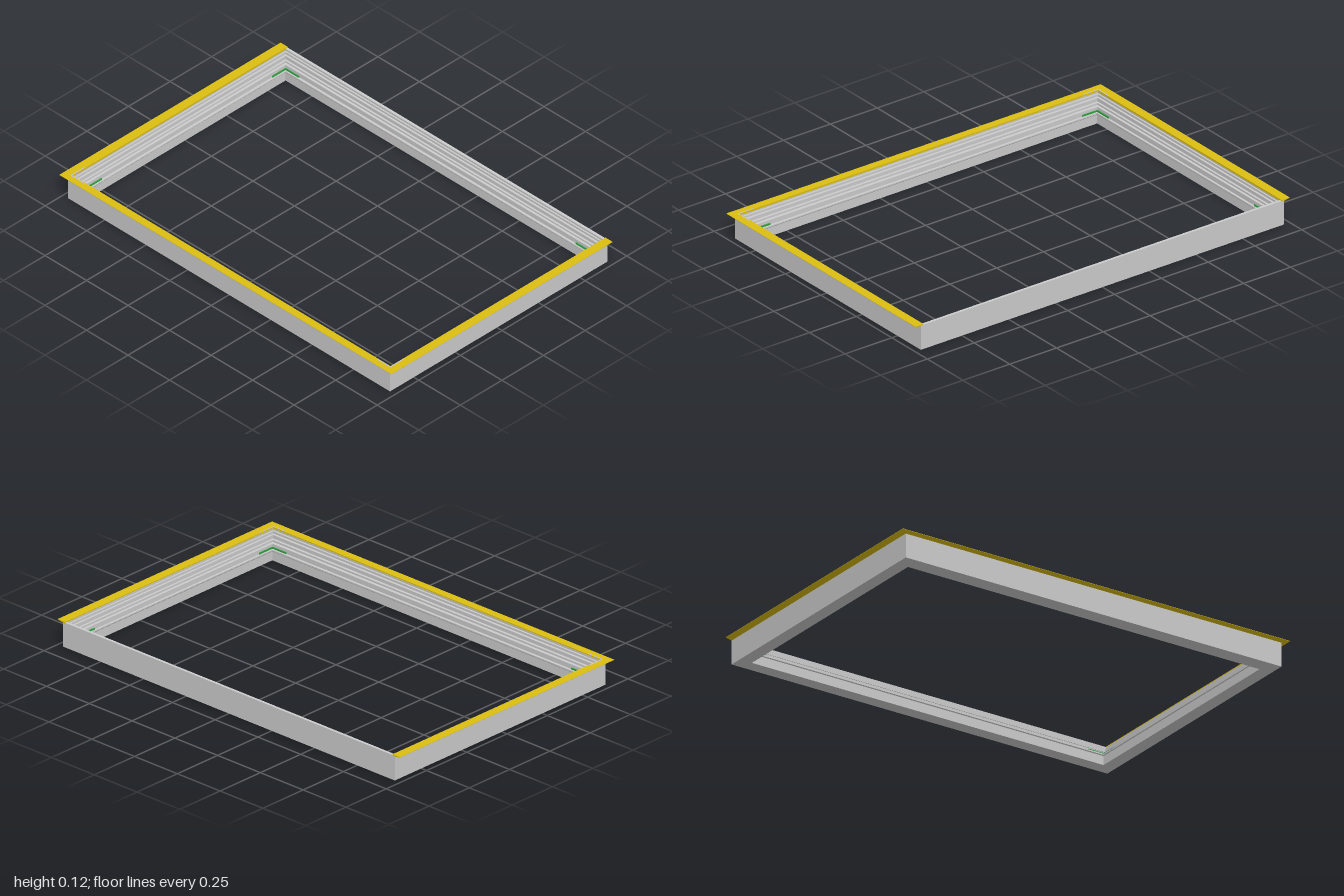
import * as THREE from 'three';

const SIDE = 0.97, FRONT = 0.643, BACK = -0.665;

// Corners of the rectangle lying d inside the outer wall (negative d = outside).
function corners(d, y, open) {
  const x = SIDE - d;
  const front = FRONT - d * (d < 0 ? 0.73 : 1.2);
  const back = open ? BACK : BACK + d;
  return [[-x, y, back], [-x, y, front], [x, y, front], [x, y, back]];
}

// Sweep a (inset, height) profile round the rectangle with mitred corners.
function sweep(profile, open = false) {
  const rings = profile.map(([d, y]) => corners(d, y, open));
  const n = rings.length, pos = [];
  const tri = (a, b, c) => pos.push(...a, ...b, ...c);
  for (let i = 0; i < (open ? 3 : 4); i++) {
    const j = (i + 1) % 4;
    for (let k = 0; k < n; k++) {
      const a = rings[k], b = rings[(k + 1) % n];
      tri(a[i], b[i], b[j]);
      tri(a[i], b[j], a[j]);
    }
  }
  if (open) {
    for (let k = 1; k < n - 1; k++) {
      tri(rings[0][0], rings[k + 1][0], rings[k][0]);
      tri(rings[0][3], rings[k][3], rings[k + 1][3]);
    }
  }
  const g = new THREE.BufferGeometry();
  g.setAttribute('position', new THREE.Float32BufferAttribute(pos, 3));
  g.computeVertexNormals();
  return g;
}

export function createModel() {
  const model = new THREE.Group();
  const grey = new THREE.MeshStandardMaterial({ color: 0xcccccc });
  const yellow = new THREE.MeshStandardMaterial({ color: 0xdcbe10 });
  const green = new THREE.MeshStandardMaterial({ color: 0x30a040 });
  const lilac = new THREE.MeshStandardMaterial({ color: 0xc4c4dc });
  const add = (name, geometry, material, parent = model) => {
    const mesh = new THREE.Mesh(geometry, material);
    mesh.name = name;
    parent.add(mesh);
    return mesh;
  };

  // Stepped frame with a bevelled sill and a seal groove in the lower ledge
  add('frame', sweep([
    [0, 0], [0.062, 0], [0.062, 0.042], [0.065, 0.046], [0.065, 0.052],
    [0.056, 0.052], [0.056, 0.046], [0.048, 0.046], [0.048, 0.068],
    [0.036, 0.068], [0.036, 0.074], [0.04, 0.074], [0.04, 0.08],
    [0.03, 0.08], [0.03, 0.096], [0.02, 0.096], [0.02, 0.106],
    [0.013, 0.106], [0.013, 0.116], [0, 0.116],
  ]), grey);

  // Bevelled flange along the sides and front, open at the back
  add('flange', sweep([
    [-0.03, 0.1185], [0, 0.112], [0.013, 0.112], [0.013, 0.12], [-0.03, 0.12],
  ], true), yellow);

  // L-shaped corner piece: one strip along x and one along z
  function cornerPiece(name, d, y, height, length, corner, material) {
    const [cx, , cz] = corners(d, y, false)[corner];
    const group = new THREE.Group();
    group.name = name;
    const t = 0.005, sx = -Math.sign(cx), sz = -Math.sign(cz);
    add('stripAcross', new THREE.BoxGeometry(length, height, t), material, group)
      .position.set(cx + sx * length / 2, y, cz);
    add('stripAlong', new THREE.BoxGeometry(t, height, length), material, group)
      .position.set(cx, y, cz + sz * length / 2);
    model.add(group);
  }
  for (let c = 0; c < 4; c++) cornerPiece('cornerSeal', 0.056, 0.052, 0.014, 0.08, c, green);
  for (const c of [1, 2]) cornerPiece('cornerPlate', 0.009, 0.1195, 0.002, 0.08, c, lilac);

  return model;
}
